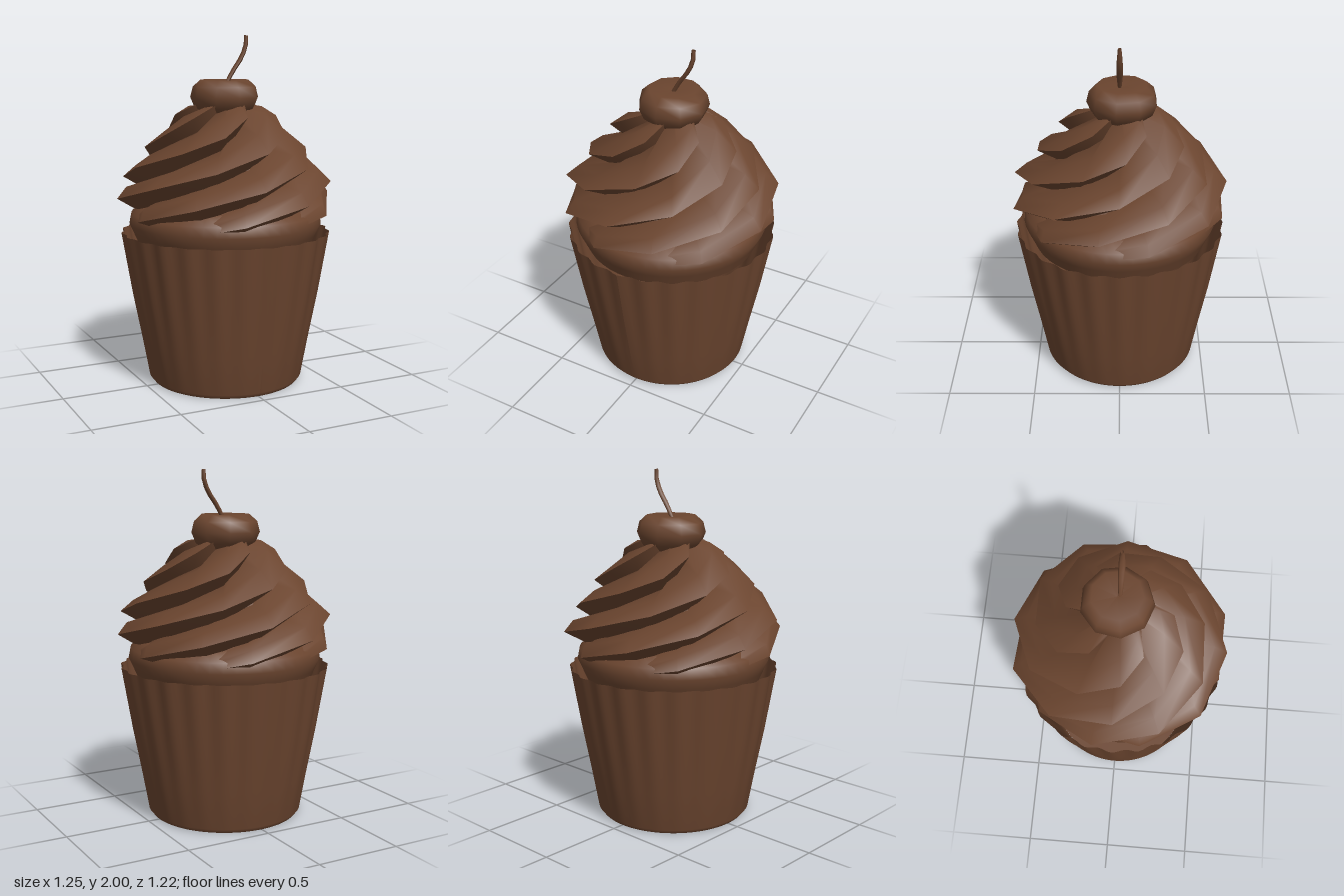
import * as THREE from 'three';

const chocolate = new THREE.MeshStandardMaterial({ color: 0x6b452f, side: THREE.DoubleSide });
chocolate.name = 'chocolate brown';

function add(group, name, geometry) {
  const mesh = new THREE.Mesh(geometry, chocolate);
  mesh.name = name;
  group.add(mesh);
  return mesh;
}

function lathe(points, sides) {
  return new THREE.LatheGeometry(points.map(([r, y]) => new THREE.Vector2(r, y)), sides);
}

// Straight-line lookup in a short [key, value] table
function lookup(table, key) {
  if (key <= table[0][0]) return table[0][1];
  for (let i = 1; i < table.length; i++) {
    const [k0, v0] = table[i - 1], [k1, v1] = table[i];
    if (key <= k1) return v0 + (v1 - v0) * (key - k0) / (k1 - k0);
  }
  return table[table.length - 1][1];
}

// Point at an angle measured from the front towards +x
const polar = ([r, y], a) => [r * Math.sin(a), y, r * Math.cos(a)];

// Surface through edges listed from bottom to top, each running towards growing angle
function loft(edges) {
  const n = edges[0].length, index = [];
  for (let e = 0; e < edges.length - 1; e++) {
    for (let i = 0; i < n - 1; i++) {
      const a = e * n + i, b = a + n;
      index.push(a, a + 1, b + 1, a, b + 1, b);
    }
  }
  const g = new THREE.BufferGeometry();
  g.setAttribute('position', new THREE.Float32BufferAttribute(edges.flat(2), 3));
  g.setIndex(index);
  g.computeVertexNormals();
  return g;
}

// Paper cup with flutes that grow towards the rim
function wrapperGeometry() {
  const flutes = 24, sides = flutes * 6;
  const g = lathe([[0.43, 0], [0.45, 0.025], [0.49, 0.25], [0.54, 0.52], [0.597, 0.88]], sides);
  const p = g.attributes.position;
  for (let i = 0; i < p.count; i++) {
    const x = p.getX(i), y = p.getY(i), z = p.getZ(i);
    const k = 1 + 0.015 * Math.min(1, y / 0.88) * Math.cos(Math.atan2(x, z) * flutes);
    p.setXYZ(i, x * k, y, z * k);
  }
  g.computeVertexNormals();
  return g;
}

// Six twisted ribs that steepen near the top, each undercut below its crest
const RIBS = 6, STEP = 360 / RIBS;
const stations = [-50, -15, 20, 55, 90, 125, 155, 180, 195];
const crestHeight = [[-50, 0.92], [-15, 0.995], [125, 1.365], [155, 1.45], [180, 1.55], [195, 1.61]];
const crestRadius = [[0.92, 0.54], [0.995, 0.605], [1.04, 0.63], [1.11, 0.635], [1.2, 0.605],
  [1.3, 0.53], [1.37, 0.46], [1.45, 0.39], [1.55, 0.29], [1.61, 0.17]];

function addRib(group, turn) {
  const root = [], crest = [], shoulder = [], inner = [];
  stations.forEach((sweep, i) => {
    const y = lookup(crestHeight, sweep), r = lookup(crestRadius, y);
    const a = THREE.MathUtils.degToRad(turn + sweep);
    const tip = i === 0;
    // The rib starts as a point on the cake
    const edge = tip ? [0.53, y] : [r, y];
    const low = tip ? edge : [Math.max(r - 0.16, 0.03), y - 0.085];
    // Its top runs in below the next rib, or to the middle where no rib lies above
    let end = [0.04, 1.61];
    if (sweep + STEP <= 195) {
      const yNext = lookup(crestHeight, sweep + STEP);
      end = [Math.max(lookup(crestRadius, yNext) - 0.12, 0.04), yNext - 0.065];
    }
    // Slight bulge of the top face
    const bulge = tip ? 0 : 0.02;
    const mid = [edge[0] + (end[0] - edge[0]) * 0.4 + bulge,
      Math.min(edge[1] + (end[1] - edge[1]) * 0.5 + bulge, 1.61)];
    root.push(polar(low, a));
    crest.push(polar(edge, a));
    shoulder.push(polar(mid, a));
    inner.push(polar(end, a));
  });
  add(group, 'ribUnderside', loft([root, crest]));
  add(group, 'ribTop', loft([crest, shoulder, inner]));
}

// Curved stem, widest in depth at its middle
function stemGeometry() {
  const path = new THREE.CatmullRomCurve3([[0.01, 1.73, 0], [0.05, 1.8, 0], [0.1, 1.87, 0],
    [0.13, 1.94, 0], [0.133, 2, 0]].map((p) => new THREE.Vector3(...p)));
  const g = new THREE.TubeGeometry(path, 6, 0.012, 6);
  const p = g.attributes.position;
  for (let i = 0; i < p.count; i++) {
    const t = THREE.MathUtils.clamp((p.getY(i) - 1.73) / 0.27, 0, 1);
    p.setZ(i, p.getZ(i) * (0.8 + 0.7 * Math.sin(Math.PI * t)));
  }
  g.computeVertexNormals();
  return g;
}

export function createModel() {
  const model = new THREE.Group();
  model.name = 'cupcake';

  add(model, 'wrapper', wrapperGeometry());
  const base = add(model, 'wrapperBase', new THREE.CircleGeometry(0.43, 48));
  base.rotation.x = Math.PI / 2;

  // Cake rising out of the wrapper
  add(model, 'cake', lathe([[0.5, 0.8], [0.53, 0.87], [0.557, 0.93], [0.545, 0.99],
    [0.48, 1.05], [0.3, 1.1], [0, 1.12]], 48));

  // Frosting swirl around a plain core
  const frosting = new THREE.Group();
  frosting.name = 'frosting';
  model.add(frosting);
  add(frosting, 'frostingCore', lathe([[0.44, 1.0], [0.42, 1.12], [0.31, 1.27],
    [0.17, 1.42], [0.09, 1.55], [0, 1.6]], 12));
  for (let k = 0; k < RIBS; k++) addRib(frosting, k * STEP);

  // Cherry with a dimple, and its stem
  const cherry = add(model, 'cherry', lathe([[0, 1.5], [0.11, 1.535], [0.175, 1.59],
    [0.2, 1.65], [0.185, 1.71], [0.14, 1.75], [0, 1.735]], 9));
  cherry.position.set(0.005, 0, -0.015);
  add(model, 'stem', stemGeometry());
  return model;
}
